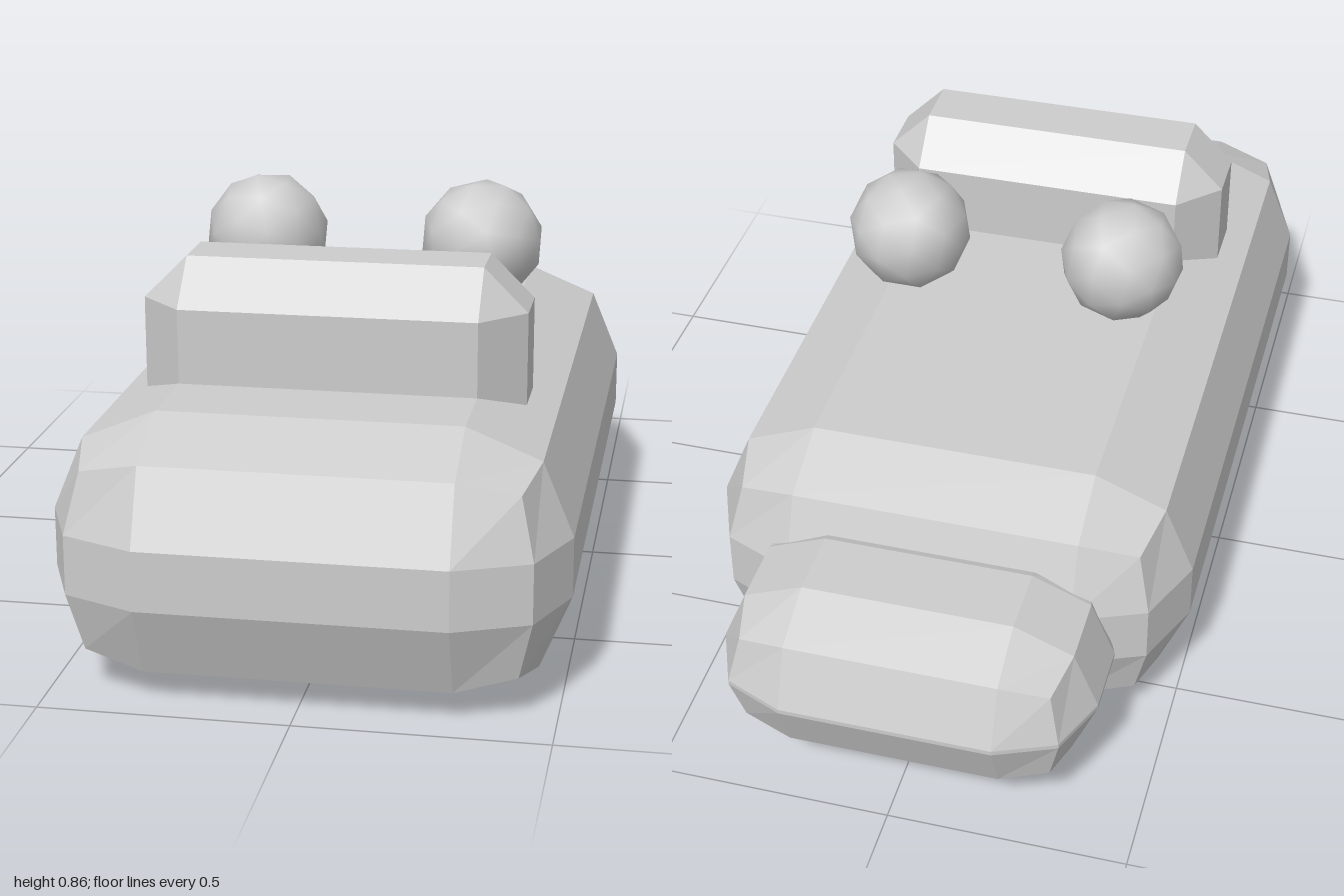
import * as THREE from 'three';
import { RoundedBoxGeometry } from 'three/addons/geometries/RoundedBoxGeometry.js';
import { ConvexGeometry } from 'three/addons/geometries/ConvexGeometry.js';

// Box with coarse two-step rounded edges and flat facets
function facetedBox(w, h, d, r) {
  const g = new RoundedBoxGeometry(w, h, d, 1, r);
  g.computeVertexNormals();
  return g;
}

// Box with a single chamfer of size c on every edge
function chamferedBox(w, h, d, c) {
  const half = [w / 2, h / 2, d / 2];
  const points = [];
  for (const sx of [-1, 1]) for (const sy of [-1, 1]) for (const sz of [-1, 1]) {
    for (let axis = 0; axis < 3; axis++) {
      const [x, y, z] = half.map((v, i) => (i === axis ? v : v - c));
      points.push(new THREE.Vector3(sx * x, sy * y, sz * z));
    }
  }
  return new ConvexGeometry(points);
}

export function createModel() {
  const group = new THREE.Group();
  const grey = new THREE.MeshStandardMaterial({ color: 0xcccccc });
  grey.name = 'light grey';

  function add(name, geometry, x, y, z) {
    const mesh = new THREE.Mesh(geometry, grey);
    mesh.name = name;
    mesh.position.set(x, y, z);
    group.add(mesh);
    return mesh;
  }

  // Long main body and the smaller block sunk into its back
  add('body', facetedBox(1.03, 0.546, 1.69, 0.212), 0, 0.273, 0.155);
  add('rearBlock', facetedBox(0.79, 0.36, 0.5, 0.175), 0, 0.245, -0.75);

  // Chamfered bar across the top near the front
  add('topBar', chamferedBox(0.786, 0.39, 0.302, 0.09), 0, 0.595, 0.457);

  // Pair of balls floating over the body
  for (const side of [-1, 1]) {
    const ball = add(side > 0 ? 'leftBall' : 'rightBall',
      new THREE.IcosahedronGeometry(0.135, 1), side * 0.24, 0.728, 0.03);
    ball.rotation.set(0.2, side * 0.3, 0.15);
  }

  return group;
}
